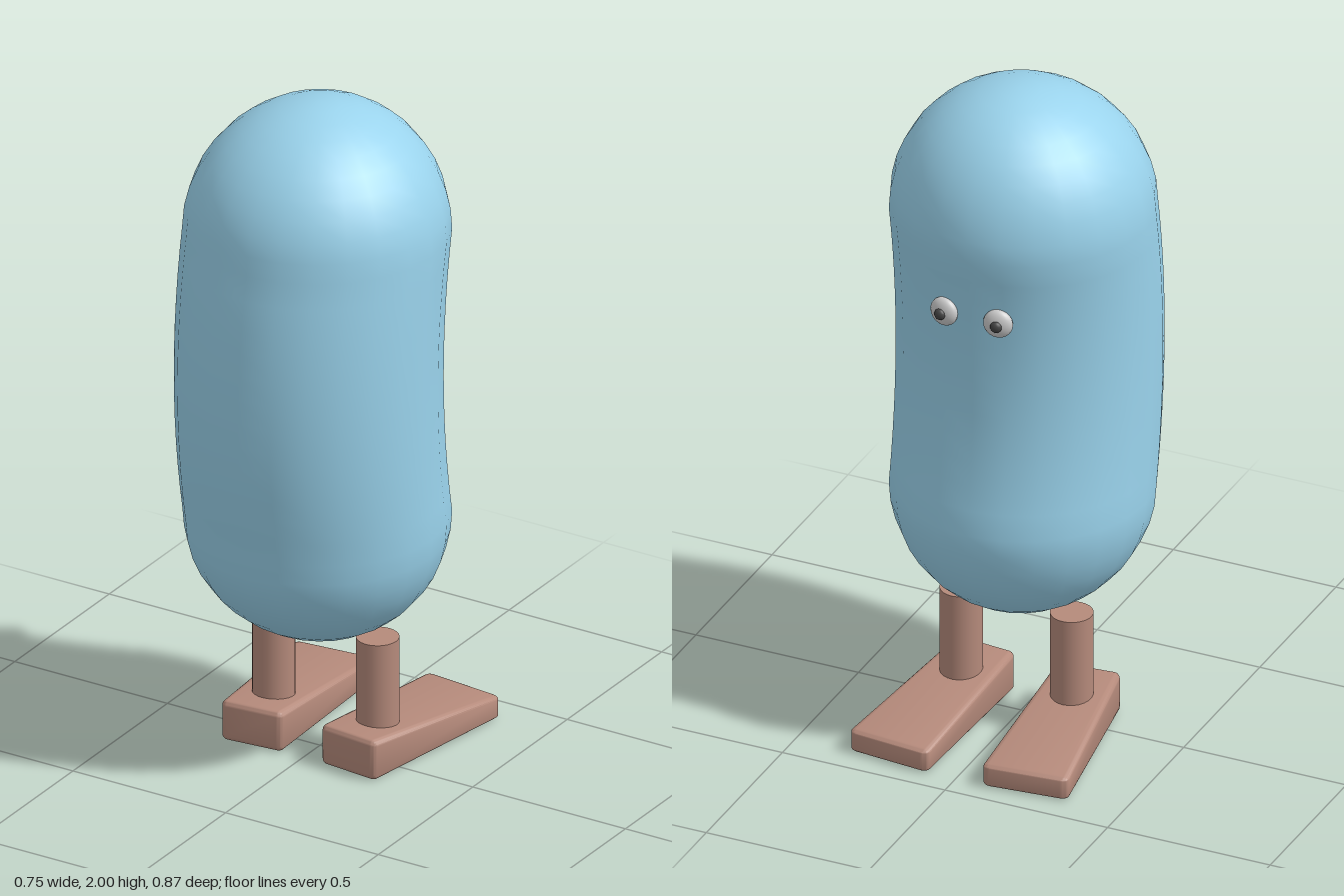
import * as THREE from 'three';
import { mergeVertices, toCreasedNormals } from 'three/addons/utils/BufferGeometryUtils.js';
import { RoundedBoxGeometry } from 'three/addons/geometries/RoundedBoxGeometry.js';

const paint = (color) => new THREE.MeshStandardMaterial({ color });
const skin = paint(0x9ad3ec);
const brown = paint(0xb58a7b);
const white = paint(0xdddddd);
const dark = paint(0x444444);

function part(parent, name, geometry, material) {
  const mesh = new THREE.Mesh(geometry, material);
  mesh.name = name;
  parent.add(mesh);
  return mesh;
}

// Move every vertex by a rule, then weld the seams
function reshape(geometry, rule) {
  const pos = geometry.attributes.position;
  const v = new THREE.Vector3();
  for (let i = 0; i < pos.count; i++) {
    rule(v.fromBufferAttribute(pos, i));
    pos.setXYZ(i, v.x, v.y, v.z);
  }
  geometry.deleteAttribute('uv');
  geometry.deleteAttribute('normal');
  const welded = mergeVertices(geometry, 1e-4);
  welded.computeVertexNormals();
  return welded;
}

// Capsule bowed backwards at the middle
function bodyGeometry() {
  const r = 0.376, half = 0.439;
  return reshape(new THREE.CapsuleGeometry(r, half * 2, 10, 24, 12), (v) => {
    const t = Math.min(Math.abs(v.y) / half, 1);
    const cap = Math.max(Math.abs(v.y) - half, 0) / r;
    v.z += 0.06 - 0.045 * t * t - 0.02 * cap * cap;
  });
}

// Wedge that gets wider and lower towards the toe (-z)
function footGeometry() {
  const length = 0.54, height = 0.125;
  const wedge = reshape(new RoundedBoxGeometry(0.19, height, length, 3, 0.018), (v) => {
    const u = 0.5 - v.z / length;
    v.x *= 1 + 0.34 * u;
    v.y = (v.y + height / 2) * (1 - 0.45 * u);
  });
  return toCreasedNormals(wedge, 0.6);
}

export function createModel() {
  const model = new THREE.Group();
  model.name = 'beanCreature';

  part(model, 'body', bodyGeometry(), skin).position.y = 1.185;

  for (const side of [-1, 1]) {
    const label = side > 0 ? 'left' : 'right';

    // Leg and splayed foot
    const leg = part(model, label + 'Leg', new THREE.CylinderGeometry(0.061, 0.061, 0.28, 24), brown);
    leg.position.set(side * 0.17, 0.235, -0.03);
    const foot = part(model, label + 'Foot', footGeometry(), brown);
    foot.position.set(side * 0.184, 0.005, -0.158);
    foot.rotation.y = -side * 0.097;

    // Flattened eye with a small pupil
    const eye = new THREE.Group();
    eye.name = label + 'Eye';
    eye.position.set(side * 0.083, 1.43, -0.328);
    eye.rotation.y = -side * 0.15;
    model.add(eye);
    part(eye, 'eyeball', new THREE.SphereGeometry(0.043, 20, 14), white).scale.z = 0.55;
    const pupil = part(eye, 'pupil', new THREE.SphereGeometry(0.017, 14, 10), dark);
    pupil.position.z = -0.022;
    pupil.scale.z = 0.75;
  }
  return model;
}
